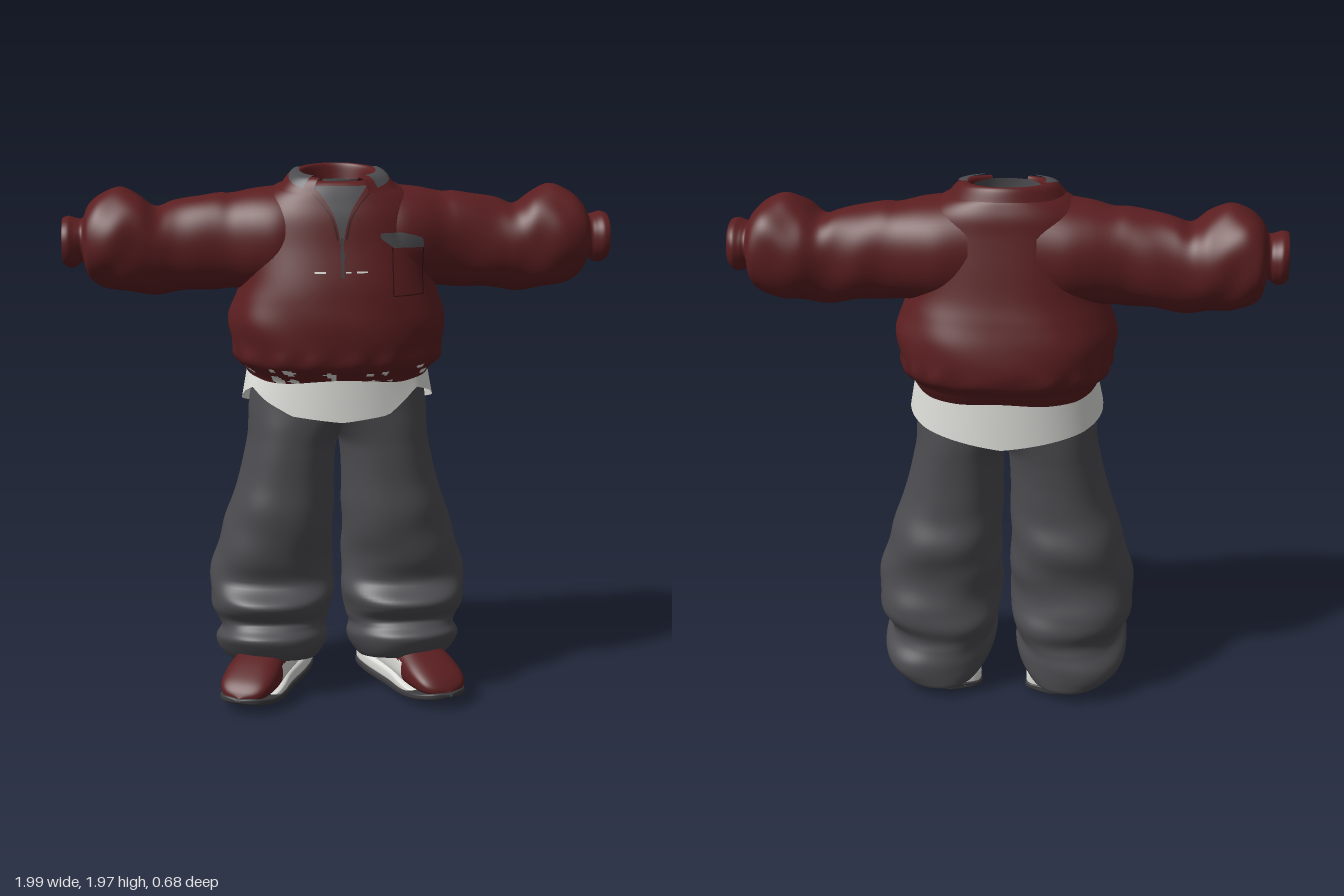
import * as THREE from 'three';

const mat = (name, color) => {
  const m = new THREE.MeshStandardMaterial({ color, side: THREE.DoubleSide });
  m.name = name;
  return m;
};
const { sin, cos, abs, sign, pow, PI, exp, floor, min, max } = Math;
const bell = (v, c, w) => exp(-(((v - c) / w) ** 2));

// Surface from a rule fn(u, v) -> [x, y, z]; closed joins u = 1 to u = 0.
// pick(x, y, z) selects a material slot for each face.
function grid(name, fn, nu, nv, closed, mats, pick) {
  const pos = [], cols = closed ? nu : nu + 1;
  for (let j = 0; j <= nv; j++)
    for (let i = 0; i < cols; i++) pos.push(...fn(i / nu, j / nv));
  const lists = [[], []];
  for (let j = 0; j < nv; j++)
    for (let i = 0; i < nu; i++) {
      const k = (i + 1) % cols;
      const a = j * cols + i, b = j * cols + k, c = b + cols, d = a + cols;
      const mid = [0, 1, 2].map(n => (pos[a * 3 + n] + pos[c * 3 + n]) / 2);
      lists[pick && pick(...mid) ? 1 : 0].push(a, b, c, a, c, d);
    }
  const g = new THREE.BufferGeometry();
  g.setAttribute('position', new THREE.Float32BufferAttribute(pos, 3));
  g.setIndex(lists[0].concat(lists[1]));
  if (pick) {
    g.addGroup(0, lists[0].length, 0);
    g.addGroup(lists[0].length, lists[1].length, 1);
  }
  g.computeVertexNormals();
  const mesh = new THREE.Mesh(g, mats);
  mesh.name = name;
  return mesh;
}

// Smooth interpolation through key rows
function sample(keys, v) {
  const f = v * (keys.length - 1), i = min(floor(f), keys.length - 2), t = f - i;
  const k = n => keys[max(0, min(keys.length - 1, n))];
  const [p, q, r, s] = [k(i - 1), k(i), k(i + 1), k(i + 2)];
  return q.map((_, n) => q[n] + 0.5 * t * (r[n] - p[n] +
    t * (2 * p[n] - 5 * q[n] + 4 * r[n] - s[n] + t * (3 * (q[n] - r[n]) + s[n] - p[n]))));
}

// Loft through rows [t, a0, a1, b0, b1] of rounded sections; place maps (a, t, b) to x, y, z
function loft(name, keys, mats, { n = 2.2, seg = 64, fold = () => 0, place = (a, t, b) => [a, t, b], pick } = {}) {
  return grid(name, (u, v) => {
    const [t, a0, a1, b0, b1] = sample(keys, v), h = u * 2 * PI;
    const round = w => sign(w) * pow(abs(w), 2 / n), f = 1 + fold(h, t);
    return place((a0 + a1) / 2 + (a1 - a0) / 2 * round(sin(h)) * f, t,
      (b0 + b1) / 2 + (b1 - b0) / 2 * round(cos(h)) * f);
  }, seg, (keys.length - 1) * 6, true, mats, pick);
}

const both = rows => rows.map(([y, w, z0, z1]) => [y, -w, w, z0, z1]);
const torsoKeys = both([[1.19, .315, -.27, .19], [1.215, .33, -.285, .2], [1.24, .345, -.3, .22],
  [1.28, .38, -.33, .252], [1.34, .388, -.337, .26], [1.42, .4, -.325, .26], [1.5, .375, -.3, .25],
  [1.58, .345, -.275, .235], [1.7, .325, -.25, .2], [1.8, .31, -.23, .175], [1.86, .28, -.22, .15],
  [1.9, .23, -.205, .13], [1.925, .165, -.19, .11], [1.93, .125, -.17, .09]]);

// Puffy sleeve narrowing into a cuff: rows [x, z0, z1, y0, y1]
const sleeveKeys = [[.12, -.235, .145, 1.51, 1.915], [.22, -.245, .16, 1.515, 1.902], [.3, -.235, .142, 1.525, 1.892],
  [.38, -.218, .108, 1.53, 1.876], [.44, -.21, .095, 1.525, 1.876], [.52, -.215, .09, 1.522, 1.86], [.6, -.215, .085, 1.513, 1.845],
  [.66, -.22, .095, 1.51, 1.832], [.72, -.235, .11, 1.515, 1.87], [.79, -.24, .115, 1.52, 1.892],
  [.86, -.24, .105, 1.54, 1.875], [.905, -.22, .085, 1.575, 1.835], [.925, -.15, .055, 1.63, 1.79],
  [.95, -.15, .06, 1.615, 1.79], [.975, -.155, .068, 1.612, 1.797], [.997, -.14, .062, 1.628, 1.79], [.985, -.13, .055, 1.636, 1.782]];

// Key row at a given position along a loft
function rowAt(keys, t) {
  let lo = 0, hi = 1;
  for (let i = 0; i < 24; i++) {
    const m = (lo + hi) / 2;
    if (sample(keys, m)[0] < t) lo = m; else hi = m;
  }
  return sample(keys, lo);
}

// Depth of the sweater front at a given x and y, on the body or the sleeve
function frontZ(x, y) {
  const bulge = (z0, z1, w, n) => (z0 + z1) / 2 + (z1 - z0) / 2 * pow(max(0, 1 - pow(abs(w), n)), 1 / n);
  const [, , w, z0, z1] = rowAt(torsoKeys, y), [, s0, s1, y0, y1] = rowAt(sleeveKeys, abs(x));
  const body = bulge(z0, z1, x / w, 2.4);
  return abs(x) < .12 ? body : max(body, bulge(s0, s1, (2 * y - y0 - y1) / (y1 - y0), 2.2));
}

// Thin piece lying on the sweater front, from rows [y, xLeft, xRight]
const patch = (name, rows, m, lift = .004) => grid(name, (u, v) => {
  const [y, a, b] = sample(rows, v), x = a + (b - a) * u;
  return [x, y, frontZ(x, y) + lift];
}, 12, (rows.length - 1) * 6, false, m);

export function createModel() {
  const red = mat('dark red cloth', 0x5b1e20), grey = mat('grey cloth', 0x4c4c50);
  const white = mat('off white cloth', 0xdcdcd8), dark = mat('dark rubber', 0x3b3b3e);
  const seam = mat('seam red', 0x341214);
  const model = new THREE.Group();
  model.name = 'outfit';

  // Sweater body with gathers above the hem and worn light patches on the front
  model.add(loft('sweaterBody', torsoKeys, [red, white], {
    n: 2.4, seg: 168,
    fold: (h, y) => .014 * bell(y, 1.29, .035) * sin(17 * h + 2 * sin(3 * h)) +
      .012 * bell(y, 1.42, .09) * sin(7 * h + 14 * y),
    pick: (x, y, z) => y > 1.2 && y < 1.27 && z > 0 &&
      sin(x * 37 + 3) + sin(x * 91 + y * 60) + .8 * sin(y * 130 + z * 40) - x * 1.2 > 1.05 + (y - 1.22) * 9
  }));

  // Waist hem of the undershirt, slit at the front corners
  const hemRow = [[0, 1.07], [.5, 1.09], [.9, 1.18], [1.2, 1.155], [1.57, 1.115], [2.2, 1.07], [3.15, 1.03]];
  const hemY = h => {
    const b = h > PI ? 2 * PI - h : h, a = h > PI ? b - .2 * bell(b, 1.05, .4) : b;
    const i = max(1, hemRow.findIndex(r => r[0] >= a)), [p, q] = [hemRow[i - 1], hemRow[i]];
    return p[1] + (q[1] - p[1]) * (a - p[0]) / (q[0] - p[0]);
  };
  model.add(grid('shirtHem', (u, v) => {
    const h = u * 2 * PI, y = hemY(h) + (1.24 - hemY(h)) * v, k = 1.01 - .06 * v;
    return [.352 * k * sin(h), y, -.035 + .252 * k * cos(h)];
  }, 96, 8, true, white));

  // Neck lining, white at the sides, and undershirt inside the opening
  model.add(loft('neckLining', both([[1.84, .105, -.15, .08], [1.89, .12, -.165, .09], [1.935, .125, -.17, .09]]), [grey, white],
    { pick: (x, y) => abs(x) > .075 && y < 1.91 }));
  model.add(loft('innerShirt', both([[1.82, .001, -.05, -.049], [1.83, .07, -.12, .03], [1.86, .118, -.16, .085]]), grey));

  // Folded collar, open at the front with spread points; lower at the front than at the back
  const collarKeys = [[.122, .132, 1.9], [.13, .14, 1.945], [.145, .15, 1.955], [.175, .165, 1.945], [.205, .18, 1.905]];
  const collar = lift => (h, v) => {
    const [rx, rz, y] = sample(collarKeys, v), a = h > PI ? 2 * PI - h : h;
    const f = 1 + .16 * v * v * bell(a, 1, .4), z = -.03 + rz * cos(h) * f;
    return [rx * sin(h) * f, y - .1 * (z + .03) + lift, z];
  };
  const fold = collar(0), flap = collar(.006);
  model.add(grid('collar', (u, v) => fold(.5 + u * (2 * PI - 1), v), 72, 20, false, red));
  for (const s of [1, -1])
    model.add(grid('collarFlap', (u, v) => {
      const p = flap(.68 + u * 1.2, .42 + v * (.5 - .3 * u));
      return [p[0] * s, p[1], p[2]];
    }, 16, 8, false, grey));

  // Neck opening, zip and seams
  model.add(patch('neckOpening', [[1.71, -.004, .004], [1.77, -.014, .014], [1.83, -.035, .035], [1.88, -.068, .068], [1.915, -.095, .095]], grey));
  model.add(patch('zip', [[1.6, -.005, .005], [1.74, -.005, .005]], dark, .006));
  model.add(patch('zipPull', [[1.66, -.009, .009], [1.69, -.007, .007]], dark, .008));
  for (const s of [1, -1])
    model.add(patch('neckSeam', [[1.73, .012, .018], [1.8, .03, .036], [1.85, .062, .068], [1.89, .1, .106]].map(([y, a, b]) =>
      s > 0 ? [y, a, b] : [y, -b, -a]), seam, .005));
  for (const [a, b] of [[-.1, -.06], [.01, .03], [.05, .09]])
    model.add(patch('zipStitch', [[1.617, a, b], [1.623, a, b]], white));

  // Chest pocket
  for (const [y0, y1, a, b] of [[1.53, 1.534, .18, .298], [1.53, 1.7, .18, .184], [1.53, 1.7, .294, .298]])
    model.add(patch('pocketSeam', [[y0, a, b], [y1, a, b]], seam));
  model.add(patch('pocketFlap', [[1.698, .19, .298], [1.715, .165, .298], [1.735, .14, .285], [1.752, .14, .22]], grey, .006));

  // Parts that repeat on each side
  for (const s of [1, -1]) {
    const side = new THREE.Group();
    side.name = s > 0 ? 'leftSide' : 'rightSide';
    side.scale.x = s;
    model.add(side);

    // Sleeve and the lining inside its cuff
    const along = (a, t, b) => [t, b, a];
    side.add(loft('sleeve', sleeveKeys, red, {
      place: along,
      fold: (h, x) => .03 * sin(3 * h + x * 26) * bell(x, .68, .2) + .02 * sin(5 * h - x * 30) * bell(x, .82, .1)
    }));
    side.add(loft('cuffLining', [[.945, -.041, -.04, 1.71, 1.711], [.947, -.12, .045, 1.642, 1.776], [.99, -.132, .056, 1.634, 1.784]], white, { place: along }));

    // Baggy leg, meeting its twin above the crotch, the hem dropping towards the heel
    side.add(loft('trouserLeg', [[.13, .12, .36, -.2, .12], [.09, .085, .405, -.265, .165], [.13, .055, .45, -.29, .205],
      [.18, .045, .463, -.295, .225], [.225, .05, .44, -.275, .195], [.26, .032, .452, -.265, .175], [.31, .018, .483, -.28, .205],
      [.36, .016, .488, -.27, .212], [.43, .02, .48, -.25, .155], [.52, .018, .462, -.255, .165], [.62, .018, .435, -.265, .18],
      [.72, .016, .4, -.24, .19], [.82, .015, .37, -.23, .18], [.92, .01, .347, -.228, .177], [.98, -.005, .336, -.23, .175],
      [1.04, -.06, .333, -.232, .175], [1.1, -.15, .33, -.235, .175], [1.2, -.24, .315, -.235, .172]], grey, {
      n: 2.3, seg: 72,
      fold: (h, y) => (.022 * sin(2 * h + y * 24) + .016 * sin(3 * h - y * 34)) * max(0, min(1, (.85 - y) * 2.2)),
      place: (x, y, z) => [x, y + .25 * (z + .05) * max(0, min(1, (.45 - y) / .3)), z]
    }));

    // Shoe, toe turned outwards: rows [z, y0, y1, half width]
    const shoe = new THREE.Group();
    shoe.name = 'shoe';
    shoe.position.set(.268, 0, .055);
    shoe.rotation.y = .42;
    side.add(shoe);
    const wide = rows => rows.map(([z, y0, y1, w]) => [z, y0, y1, -w, w]);
    const lengthwise = (a, t, b) => [b, a, t];
    shoe.add(loft('shoeUpper', wide([[-.285, .06, .07, .005], [-.27, .03, .15, .065], [-.2, .03, .2, .085], [-.08, .03, .22, .088],
      [.02, .03, .215, .092], [.1, .035, .185, .1], [.18, .04, .155, .104], [.25, .045, .12, .092], [.285, .05, .09, .06],
      [.3, .06, .065, .005]]), [red, white], {
      n: 2.6, place: lengthwise, pick: (x, y, z) => x < -.045 && y < .14 && z < .11
    }));
    shoe.add(loft('shoeMidsole', wide([[-.298, .03, .04, .005], [-.285, .02, .085, .07], [-.18, .02, .085, .094], [0, .02, .08, .096],
      [.1, .025, .068, .106], [.17, .03, .054, .1], [.21, .035, .045, .06]]), white, { n: 4, place: lengthwise }));
    shoe.add(loft('shoeSole', wide([[-.303, .02, .025, .005], [-.29, .008, .035, .072], [-.18, 0, .036, .097], [0, 0, .034, .099],
      [.12, .008, .042, .111], [.22, .022, .055, .106], [.285, .036, .066, .07], [.31, .05, .058, .005]]), dark, { n: 4, place: lengthwise }));
  }
  return model;
}
